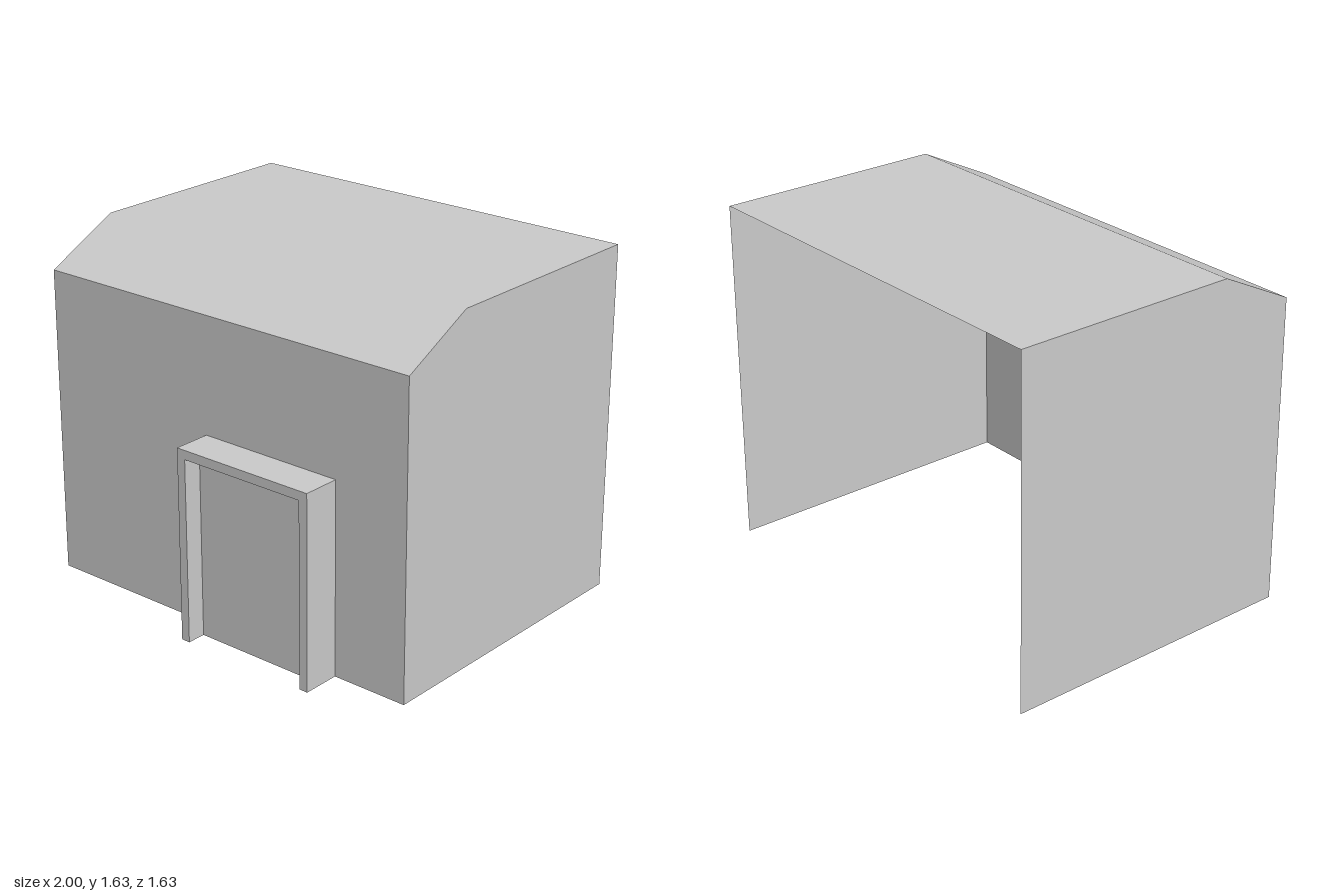
import * as THREE from 'three';

const W = 2, BACK = -0.815, FRONT = 0.635, EAVE = 1.455, TOP = 1.635, BEND = 0.275;

export function createModel() {
  const model = new THREE.Group();
  const shell = new THREE.MeshStandardMaterial({ color: 0xcccccc, side: THREE.DoubleSide, flatShading: true });
  const solid = new THREE.MeshStandardMaterial({ color: 0xcccccc, flatShading: true });

  const add = (name, geometry, material, x, y, z) => {
    const mesh = new THREE.Mesh(geometry, material);
    mesh.name = name;
    mesh.position.set(x, y, z);
    model.add(mesh);
    return mesh;
  };

  // Side walls: thin sheets with a sloped front upper corner
  const side = new THREE.Shape([
    [BACK, 0], [FRONT, 0], [FRONT, EAVE], [BEND, TOP], [BACK, TOP],
  ].map(([z, y]) => new THREE.Vector2(-z, y)));
  for (const [name, x] of [['leftWall', W / 2], ['rightWall', -W / 2]]) {
    add(name, new THREE.ShapeGeometry(side), shell, x, 0, 0).rotation.y = Math.PI / 2;
  }

  // Front wall and roof sheets; the back and underside stay open
  add('frontWall', new THREE.PlaneGeometry(W, EAVE), shell, 0, EAVE / 2, FRONT);
  add('flatRoof', new THREE.PlaneGeometry(W, BEND - BACK), shell, 0, TOP, (BEND + BACK) / 2)
    .rotation.x = -Math.PI / 2;
  const run = FRONT - BEND, drop = TOP - EAVE;
  add('slopedRoof', new THREE.PlaneGeometry(W, Math.hypot(run, drop)), shell,
    0, (TOP + EAVE) / 2, (FRONT + BEND) / 2).rotation.x = -Math.atan2(run, drop);

  // Door surround: an upside-down U standing out from the front wall
  const x0 = -0.09, x1 = 0.63, h = 0.91, t = 0.043, depth = 0.18;
  const frame = new THREE.Shape([
    [x0, 0], [x0 + t, 0], [x0 + t, h - t], [x1 - t, h - t],
    [x1 - t, 0], [x1, 0], [x1, h], [x0, h],
  ].map(([x, y]) => new THREE.Vector2(x, y)));
  add('doorFrame', new THREE.ExtrudeGeometry(frame, { depth, bevelEnabled: false }), solid, 0, 0, FRONT);

  // Door panel, set halfway back inside the surround
  add('door', new THREE.BoxGeometry(x1 - x0 - 2 * t, h - t, depth / 2), solid,
    (x0 + x1) / 2, (h - t) / 2, FRONT + depth / 4);

  return model;
}
